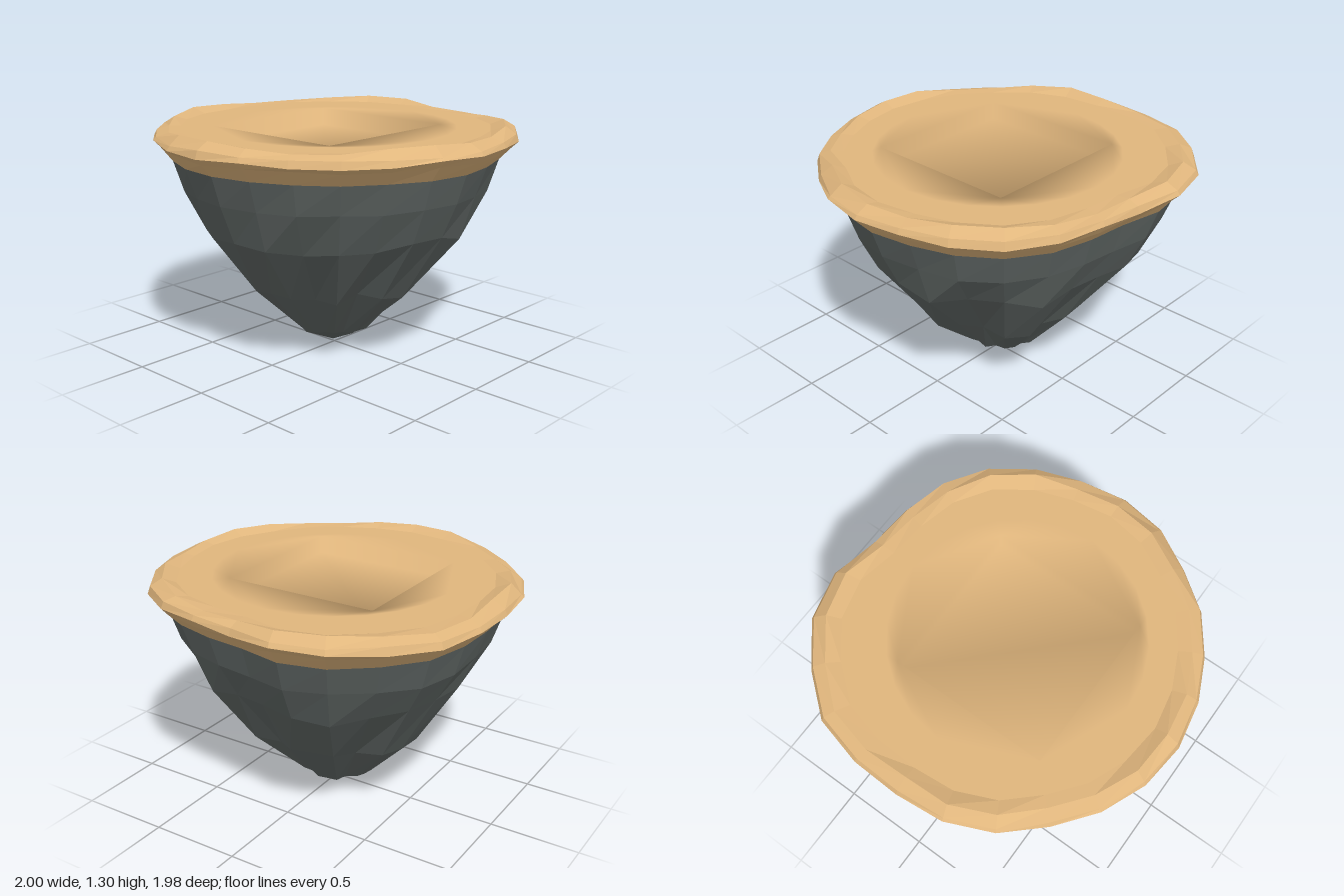
import * as THREE from 'three';
import { mergeVertices } from 'three/addons/utils/BufferGeometryUtils.js';

const COLS = 24;
// outline radius of the island every 15 degrees, from +x towards +z
const OUTLINE = [0.995, 0.985, 0.96, 0.965, 0.96, 0.97, 0.985, 0.99, 0.99, 0.985, 1.01, 1.015,
  1.005, 1.03, 1.07, 1.06, 1.065, 1.025, 0.94, 0.95, 0.99, 1.01, 1.0, 0.985];
const FLAT_Y = 1.265, PIT_DEPTH = 0.1;

let seed = 7;
function jitter(amount) {
  seed = (seed * 16807) % 2147483647;
  return (seed / 2147483647 - 0.5) * 2 * amount;
}

function polar(k, r, y) {
  const a = (k / COLS) * Math.PI * 2;
  return [Math.cos(a) * r, y, Math.sin(a) * r];
}

function loop(pointAt) {
  return Array.from({ length: COLS }, (_, k) => pointAt(k));
}

// joins successive closed loops of points, faces pointing outwards
function loft(rows) {
  const geometry = new THREE.BufferGeometry();
  const index = [];
  for (let r = 0; r < rows.length - 1; r++) {
    for (let k = 0; k < COLS; k++) {
      const n = (k + 1) % COLS;
      const a = r * COLS + k, b = r * COLS + n, d = a + COLS, c = b + COLS;
      index.push(a, d, b, b, d, c);
    }
  }
  geometry.setAttribute('position', new THREE.Float32BufferAttribute(rows.flat(2), 3));
  geometry.setIndex(index);
  return geometry;
}

function addMesh(group, name, geometry, color, flatShading) {
  const material = new THREE.MeshStandardMaterial({ color, flatShading });
  const mesh = new THREE.Mesh(geometry, material);
  mesh.name = name;
  group.add(mesh);
}

export function createModel() {
  const group = new THREE.Group();
  group.name = 'floatingIsland';
  const sand = 0xe0b67d, rock = 0x5f6664;

  // rock cone: loops of radius, height and unevenness from the tip up, with notched grooves
  const grooves = [2, 4, 8, 10, 15, 19, 22];
  const profile = [[0.215, 0.11, 0.01, 0.01], [0.495, 0.4, 0.015, 0.025],
    [0.74, 0.74, 0.015, 0.03], [0.83, 0.95, 0.006, 0.01]];
  const grooveDepth = [0.03, 0.06, 0.03, 0];
  const rockRows = [loop(() => [-0.03, 0, -0.02])];
  profile.forEach(([r, y, dr, dy], row) => rockRows.push(loop((k) => {
    const cut = grooves.includes(k) ? grooveDepth[row] : 0;
    const spread = 1 + (OUTLINE[k] - 0.985) * y;
    const p = polar(k, (r - cut + jitter(dr)) * spread, y + jitter(dy));
    return [p[0] - 0.03 * (1 - y), p[1], p[2] - 0.02 * (1 - y)];
  })));
  const rockTop = loop((k) => polar(k, OUTLINE[k] * 0.9, 1.115));
  rockRows.push(rockTop);
  addMesh(group, 'rockBase', loft(rockRows), rock, true);

  // sand rim: overhanging lip, rolled edge and a low uneven crest
  const rimRows = [
    rockTop,
    loop((k) => polar(k, OUTLINE[k] * 0.965, 1.19 + jitter(0.01))),
    loop((k) => polar(k, OUTLINE[k], 1.22 + jitter(0.012))),
    loop((k) => polar(k, OUTLINE[k] * 0.985, 1.25 + jitter(0.008))),
    loop((k) => polar(k, OUTLINE[k] * (0.92 + jitter(0.01)), 1.28 + 0.016 * Math.sin(k * 1.25) + jitter(0.004))),
    loop((k) => polar(k, OUTLINE[k] * 0.85, FLAT_Y)),
  ];
  addMesh(group, 'sandRim', loft(rimRows), sand, true);

  // sand surface with a shallow square pit; each quarter shares one corner
  const signs = [[1, 1], [-1, 1], [-1, -1], [1, -1]];
  const corner = (k, y) => {
    const [sx, sz] = signs[Math.floor(k / 6)];
    return [-0.03 + 0.44 * sx, y, 0.035 + 0.44 * sz];
  };
  const floorY = FLAT_Y - PIT_DEPTH;
  const surface = mergeVertices(loft([
    rimRows[5],
    loop((k) => polar(k, 0.67, FLAT_Y)),
    loop((k) => corner(k, FLAT_Y)),
    loop((k) => corner(k, floorY)),
    loop(() => corner(0, floorY)),
  ]));

  // soft normals: level sand, leaning inwards at the pit corners
  const pos = surface.attributes.position;
  const normals = [];
  for (let i = 0; i < pos.count; i++) {
    const x = pos.getX(i), z = pos.getZ(i);
    const lean = Math.hypot(x, z) < 0.66 ? 1 : 0;
    normals.push(...new THREE.Vector3(-Math.sign(x) * lean, 1, -Math.sign(z) * lean).normalize().toArray());
  }
  surface.setAttribute('normal', new THREE.Float32BufferAttribute(normals, 3));
  addMesh(group, 'sandSurface', surface, sand, false);

  return group;
}
